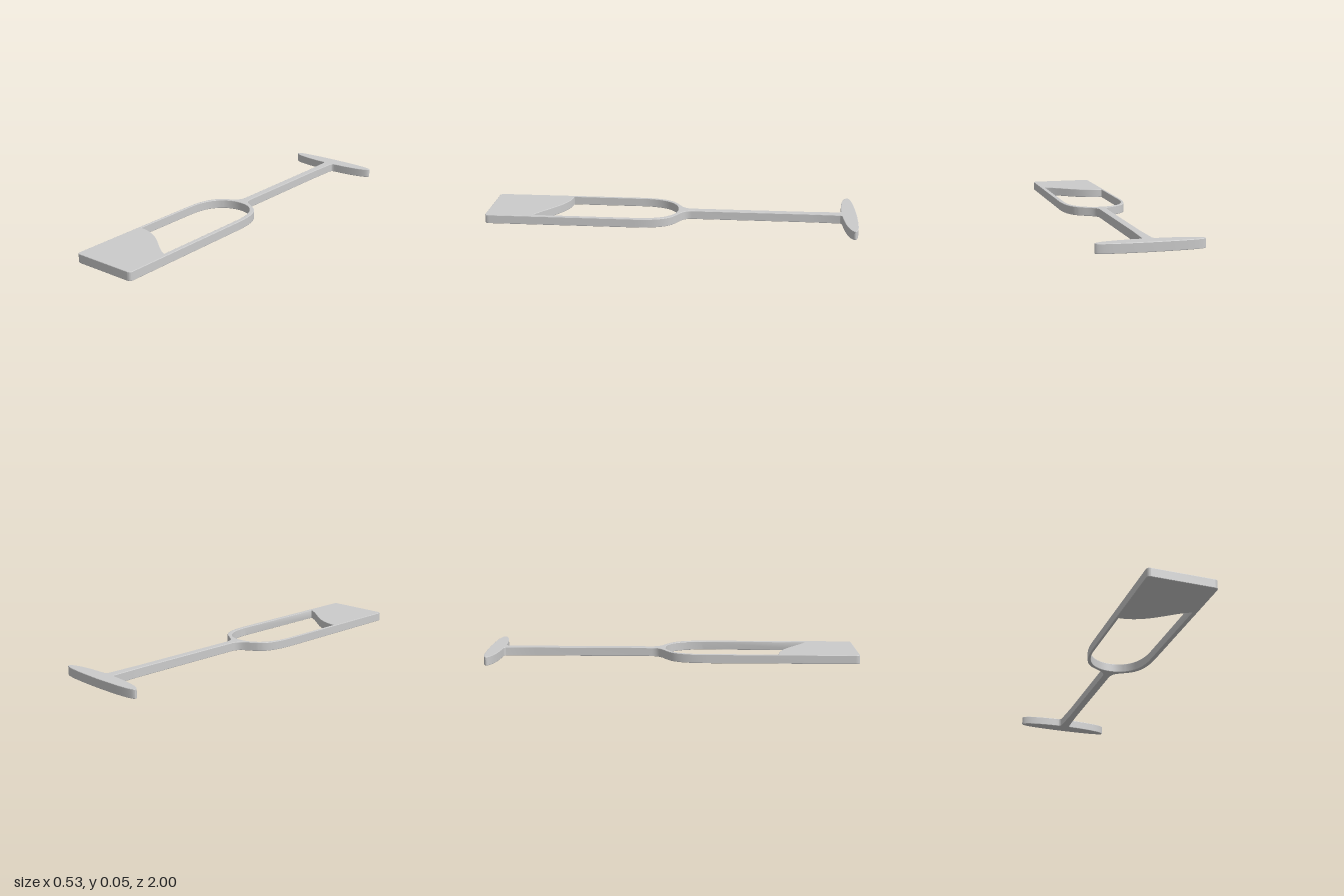
import * as THREE from 'three';
import { toCreasedNormals } from 'three/addons/utils/BufferGeometryUtils.js';

const THICKNESS = 0.048;
const BEVEL = 0.003;

// Half of the flute outline, from the middle of the rim to the middle of the foot.
// Shape x is model x, shape y is model z.
function halfOutline() {
  const p = new THREE.Path();
  p.moveTo(0, 1);
  p.lineTo(0.157, 1);
  p.quadraticCurveTo(0.178, 1, 0.178, 0.978); // rounded rim corner
  p.lineTo(0.178, 0.2);
  p.bezierCurveTo(0.178, 0.08, 0.155, 0.01, 0.102, -0.022); // bowl shoulder
  p.bezierCurveTo(0.062, -0.05, 0.021, -0.06, 0.02, -0.11); // flare into the stem
  p.lineTo(0.02, -0.74);
  p.lineTo(0.025, -0.905);
  p.quadraticCurveTo(0.026, -0.918, 0.04, -0.92); // stem meets the foot
  p.bezierCurveTo(0.18, -0.925, 0.263, -0.945, 0.263, -0.97); // foot
  p.bezierCurveTo(0.263, -0.992, 0.15, -0.998, 0, -1);
  return p.getPoints(16);
}

// Opening in the bowl, ending in the wave of the drink.
function bowlOpening() {
  const p = new THREE.Path();
  p.moveTo(-0.164, 0.57);
  p.lineTo(-0.164, 0.18);
  p.bezierCurveTo(-0.164, 0.03, -0.09, -0.035, 0, -0.035); // rounded base of the bowl
  p.bezierCurveTo(0.09, -0.035, 0.154, 0.03, 0.154, 0.18);
  p.lineTo(0.154, 0.742);
  p.bezierCurveTo(0.05, 0.69, -0.02, 0.575, -0.164, 0.57); // drink surface
  return new THREE.Path(p.getPoints(24));
}

export function createModel() {
  const group = new THREE.Group();
  group.name = 'fluteGlassCutout';

  const half = halfOutline();
  const mirrored = half.slice(1, -1).reverse().map(v => new THREE.Vector2(-v.x, v.y));
  const shape = new THREE.Shape([...half, ...mirrored]);
  shape.holes.push(bowlOpening());

  // Extrude with slightly softened edges and lay flat on the ground
  const geometry = new THREE.ExtrudeGeometry(shape, {
    depth: THICKNESS - 2 * BEVEL,
    bevelEnabled: true,
    bevelThickness: BEVEL,
    bevelSize: BEVEL,
    bevelOffset: -BEVEL,
    bevelSegments: 2,
  });
  geometry.rotateX(Math.PI / 2);
  geometry.translate(0, THICKNESS - BEVEL, 0);

  const glass = new THREE.Mesh(
    toCreasedNormals(geometry, 0.35),
    new THREE.MeshStandardMaterial({ color: 0xcccccc })
  );
  glass.name = 'fluteGlass';
  group.add(glass);
  return group;
}
